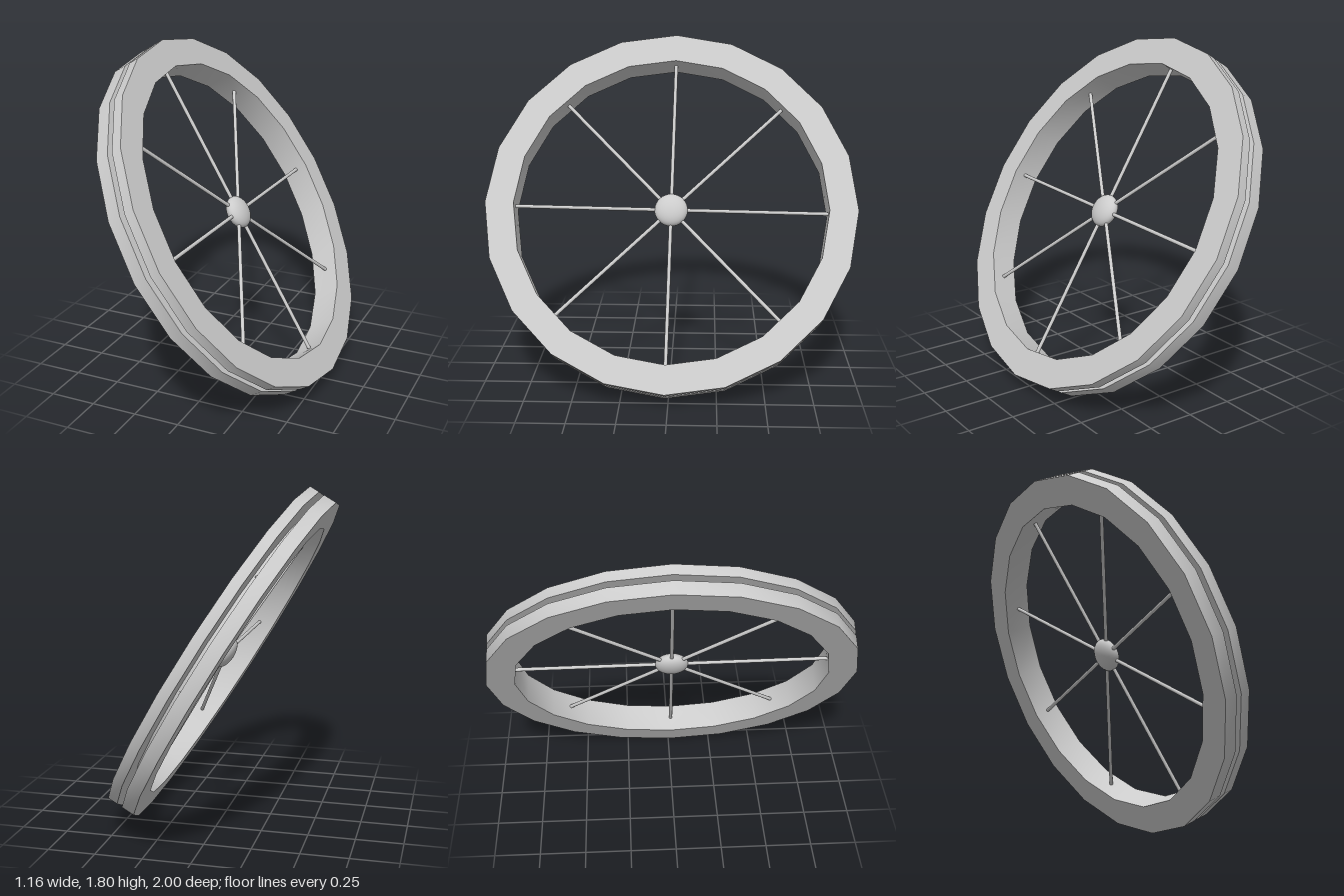
import * as THREE from 'three';
import { toCreasedNormals } from 'three/addons/utils/BufferGeometryUtils.js';

const TILT = THREE.MathUtils.degToRad(30.7);
const OUTER = 1.0;
const INNER = 0.846;
const GROOVE = 0.852;
const HALF = 0.0785;
const HUB_Y = 0.006;

export function createModel() {
  const material = new THREE.MeshStandardMaterial({ color: 0xcccccc });
  const model = new THREE.Group();

  // leaning wheel, axle along the local y axis
  const wheel = new THREE.Group();
  wheel.name = 'wheel';
  wheel.rotation.order = 'ZYX';
  wheel.rotation.set(0, -0.018, TILT - Math.PI / 2);
  wheel.position.y = 0.9;
  model.add(wheel);

  const add = (name, geometry, parent = wheel) => {
    const mesh = new THREE.Mesh(geometry, material);
    mesh.name = name;
    parent.add(mesh);
    return mesh;
  };

  // twenty-sided rim: two flanges with a deep narrow groove between them
  const profile = [
    [INNER, -HALF], [OUTER, -HALF], [OUTER, -0.006], [GROOVE, -0.006],
    [GROOVE, 0.024], [OUTER, 0.024], [OUTER, HALF], [INNER, HALF], [INNER, -HALF],
  ].map(([r, y]) => new THREE.Vector2(r, y));
  add('rim', toCreasedNormals(new THREE.LatheGeometry(profile, 20), 0.6));

  // flattened hub
  const hub = add('hub', new THREE.SphereGeometry(0.09, 32, 20));
  hub.scale.y = 0.53;
  hub.position.y = HUB_Y;

  // eight spokes, their tips just reaching the groove floor
  const length = 0.856;
  const spokeGeometry = new THREE.CylinderGeometry(0.01, 0.01, length, 12);
  spokeGeometry.rotateZ(Math.PI / 2).translate(length / 2, HUB_Y, 0);
  const spokes = new THREE.Group();
  spokes.name = 'spokes';
  wheel.add(spokes);
  for (let i = 0; i < 8; i++) {
    add('spoke', spokeGeometry, spokes).rotation.y = (i * Math.PI) / 4;
  }

  return model;
}
